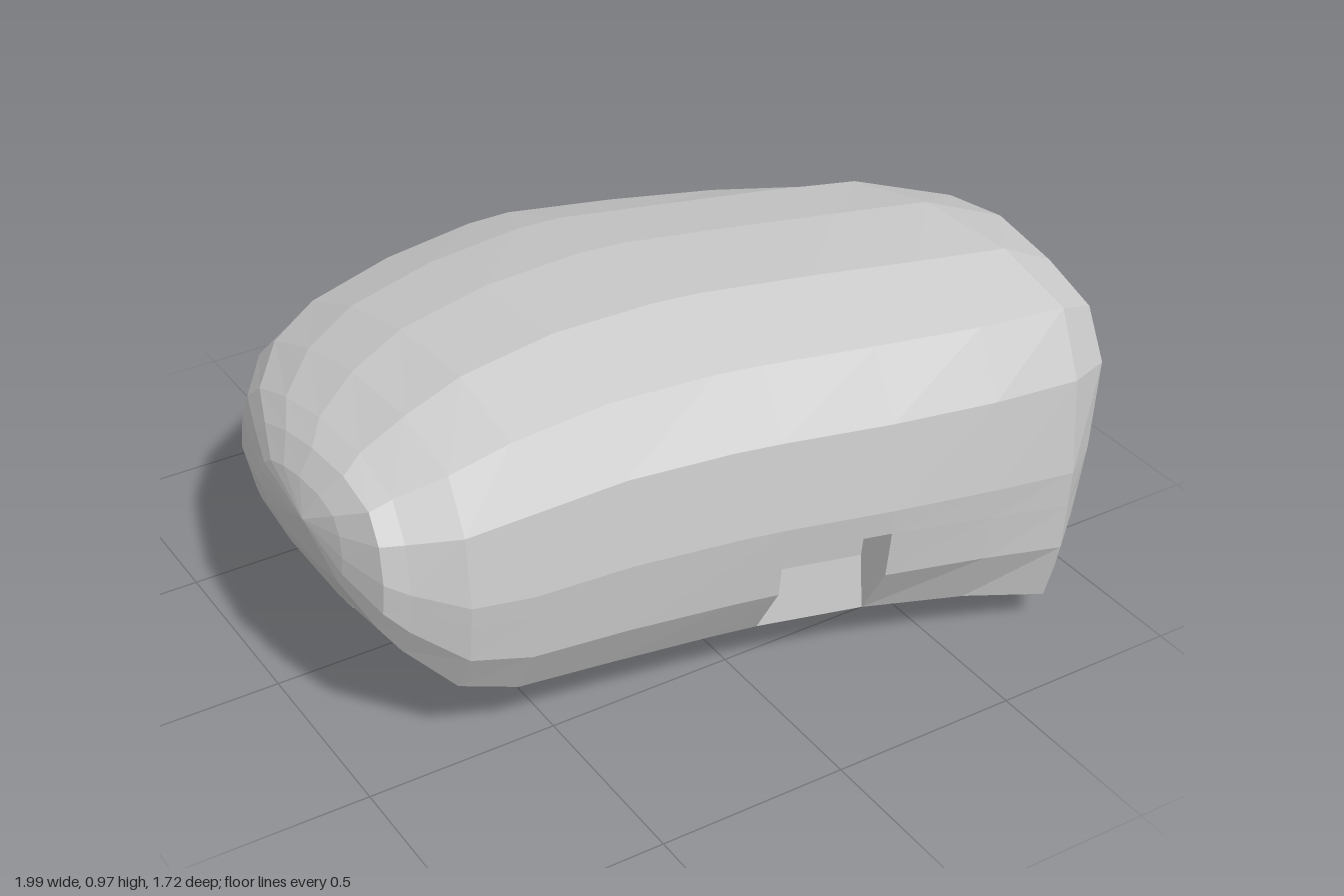
import * as THREE from 'three';

// Cross-section outlines as [depth 0 back..1 front, height 0..1], front first, then over the top
const MID = [[1, .48], [.982, .74], [.925, .93], [.755, 1], [.53, .965], [.33, .88], [.16, .76], [.07, .62],
  [.025, .46], [.015, .4], [0, .25], [.08, .08], [.3, 0], [.65, 0], [.93, .08], [.985, .25], [.995, .4]];
const END = [[1, .54], [.985, .8], [.93, .955], [.75, 1], [.5, 1], [.25, .93], [.09, .82], [.02, .64],
  [0, .45], [0, .38], [0, .31], [.02, .1], [.25, .01], [.78, .01], [.97, .12], [.99, .3], [.995, .42]];

// Stations: x, back z, front z, bottom y, top y, blend from MID to END
const STATIONS = [
  [-.97, -.07, .37, .5, .715, 0],
  [-.925, -.24, .485, .4, .775, 0],
  [-.87, -.42, .51, .31, .805, 0],
  [-.75, -.63, .575, .17, .865, 0],
  [-.6, -.74, .605, .11, .92, 0],
  [-.36, -.805, .64, .1, .965, 0],
  [-.1, -.855, .69, .1, .98, 0],
  [.02, -.86, .715, .1, .98, 0],
  [.29, -.78, .78, .095, .98, 0],
  [.55, -.63, .835, .065, .98, .25],
  [.77, -.45, .86, 0, .98, .6],
  [null, -.18, .8, .05, .92, 1],
];

// Each pocket lists its grid of [station, outline point] from the shallow edge to the deep edge
const POCKETS = [
  { name: 'frontPocket', inward: [0, 0, -.1], rows: [14, 15, 16].map(j => [[7, j], [8, j]]) },
  { name: 'backPocket', inward: [0, 0, .1], rows: [11, 10, 9].map(j => [[5, j], [6, j]]) },
  { name: 'endPocket', inward: [.1, 0, 0], rows: [3, 2, 1].map(i => [[i, 13], [i, 14]]) },
];
// Body cells left open for the pockets, as station,outline point
const OPEN = new Set(['7,14', '7,15', '5,9', '5,10', '1,13', '2,13']);

// The flat end leans outward toward the top and the back, with its top edge turned in
const endX = (y, z) => .8 + .12 * y + .1 * Math.min(1, (.82 - z) / .6) - .45 * Math.max(0, y - .8);

const { lerp } = THREE.MathUtils;
const makeRings = () => STATIONS.map(([x, zb, zf, yb, yt, k]) => MID.map(([u, v], j) => {
  const z = lerp(zb, zf, lerp(u, END[j][0], k));
  const y = lerp(yb, yt, lerp(v, END[j][1], k));
  return new THREE.Vector3(x ?? endX(y, z), y, z);
}));

// Faceted geometry from a flat list of triangle corners
function faceted(points) {
  const g = new THREE.BufferGeometry().setFromPoints(points);
  g.computeVertexNormals();
  return g;
}

const quad = (a, b, c, d) => [a, b, c, a, c, d];

function bodyGeometry(rings) {
  const n = MID.length;
  const last = rings.length - 1;
  const leftCentre = new THREE.Vector3(-1, .64, .23);
  const rightCentre = new THREE.Vector3(endX(.48, .31), .48, .31);
  const points = [];
  for (let j = 0; j < n; j++) {
    const k = (j + 1) % n;
    for (let i = 0; i < last; i++) {
      if (OPEN.has(`${i},${j}`)) continue;
      points.push(...quad(rings[i][j], rings[i + 1][j], rings[i + 1][k], rings[i][k]));
    }
    points.push(leftCentre, rings[0][j], rings[0][k]);
    points.push(rightCentre, rings[last][k], rings[last][j]);
  }
  return faceted(points);
}

// Wedge-shaped pocket: sloping floor, upright back, ceiling and two cheeks
function pocketGeometry(rings, { rows, inward }) {
  const shift = new THREE.Vector3(...inward);
  const outer = rows.map(row => row.map(([i, j]) => rings[i][j]));
  const inner = outer.map((row, r) => row.map(p => (r ? p.clone().add(shift) : p)));
  const points = [
    ...quad(inner[0][0], inner[0][1], inner[1][1], inner[1][0]),
    ...quad(inner[1][0], inner[1][1], inner[2][1], inner[2][0]),
    ...quad(inner[2][0], inner[2][1], outer[2][1], outer[2][0]),
  ];
  for (const c of [0, 1]) {
    points.push(outer[0][c], inner[1][c], outer[1][c]);
    points.push(...quad(outer[1][c], inner[1][c], inner[2][c], outer[2][c]));
  }
  return faceted(points);
}

export function createModel() {
  const group = new THREE.Group();
  const material = new THREE.MeshStandardMaterial({ color: 0xcccccc, flatShading: true, side: THREE.DoubleSide });
  const rings = makeRings();
  const add = (name, geometry) => {
    const mesh = new THREE.Mesh(geometry, material);
    mesh.name = name;
    group.add(mesh);
  };

  add('body', bodyGeometry(rings));
  for (const pocket of POCKETS) add(pocket.name, pocketGeometry(rings, pocket));

  return group;
}
